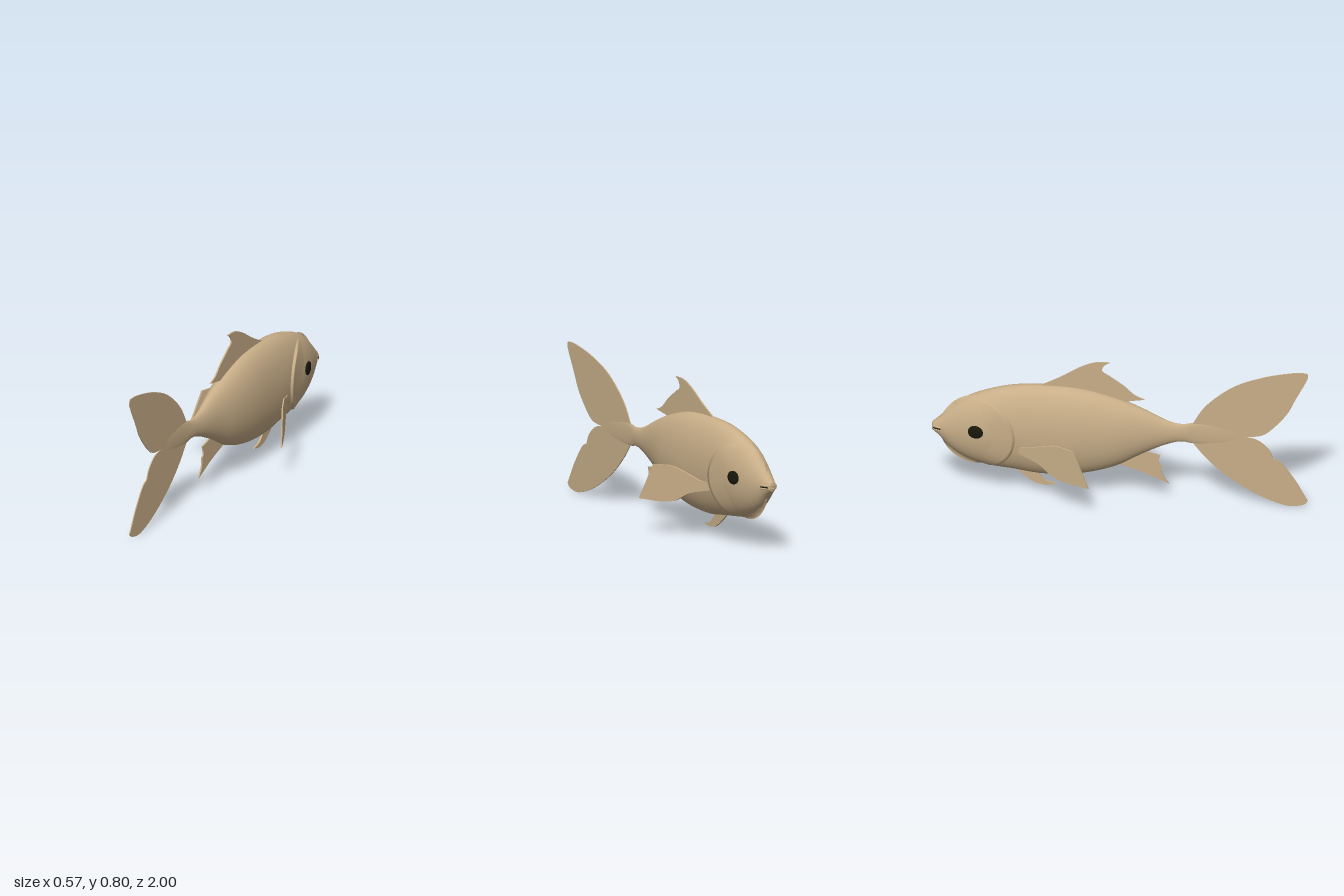
import * as THREE from 'three';

const skin = new THREE.MeshStandardMaterial({ color: 0xc8ae88 });
skin.name = 'tan skin';
const dark = new THREE.MeshStandardMaterial({ color: 0x1a180c });
dark.name = 'dark eye';

// Body stations along the spine: z, top, bottom, half width
const stations = [
  [-1, 0.39, 0.345, 0.02], [-0.97, 0.415, 0.32, 0.036], [-0.9, 0.485, 0.245, 0.06],
  [-0.82, 0.547, 0.195, 0.083], [-0.72, 0.592, 0.16, 0.1], [-0.57, 0.633, 0.14, 0.106],
  [-0.4, 0.645, 0.12, 0.108], [-0.2, 0.635, 0.136, 0.106], [-0.02, 0.59, 0.19, 0.088],
  [0.13, 0.53, 0.275, 0.055], [0.25, 0.472, 0.332, 0.029], [0.33, 0.455, 0.353, 0.016],
  [0.4, 0.468, 0.342, 0.009], [0.62, 0.45, 0.355, 0.003],
];

// Smooth interpolation of one station column at z
function profile(z, k) {
  const n = stations.length;
  let i = 0;
  while (i < n - 2 && z > stations[i + 1][0]) i++;
  const slope = (m) => {
    const a = stations[Math.max(m - 1, 0)], b = stations[Math.min(m + 1, n - 1)];
    return (b[k] - a[k]) / (b[0] - a[0]);
  };
  const a = stations[i], b = stations[i + 1], h = b[0] - a[0];
  const t = THREE.MathUtils.clamp((z - a[0]) / h, 0, 1), t2 = t * t, t3 = t2 * t;
  return (2 * t3 - 3 * t2 + 1) * a[k] + (t3 - 2 * t2 + t) * h * slope(i)
    + (3 * t2 - 2 * t3) * b[k] + (t3 - t2) * h * slope(i + 1);
}

// Half width of the body at a side-view position
function bodyX(z, y) {
  const top = profile(z, 1), bottom = profile(z, 2);
  const v = (y - (top + bottom) / 2) / ((top - bottom) / 2);
  return profile(z, 3) * Math.sqrt(Math.max(0, 1 - v * v));
}

// Surface from rings that close on themselves
function ringSurface(rings, sides, point, flip) {
  const pos = [], index = [];
  for (let i = 0; i <= rings; i++) {
    for (let j = 0; j < sides; j++) pos.push(...point(i, (j / sides) * Math.PI * 2));
  }
  for (let i = 0; i < rings; i++) {
    for (let j = 0; j < sides; j++) {
      const a = i * sides + j, b = i * sides + (j + 1) % sides;
      const c = a + sides, d = b + sides;
      if (flip) index.push(a, b, c, b, d, c);
      else index.push(a, c, b, b, c, d);
    }
  }
  const g = new THREE.BufferGeometry();
  g.setAttribute('position', new THREE.Float32BufferAttribute(pos, 3));
  g.setIndex(index);
  g.computeVertexNormals();
  return g;
}

// Round plate lying on one flank, closed by a rim sunk into the body
function flankPatch(side, cz, cy, rz, ry, offset) {
  const rings = 14;
  return ringSurface(rings, 48, (i, a) => {
    const r = Math.min(i / (rings - 1), 1);
    const z = cz + rz * r * Math.cos(a), y = cy + ry * r * Math.sin(a);
    const lift = i === rings ? -0.012 : offset(r, a);
    return [side * Math.max(0, bodyX(z, y) + lift), y, z];
  }, side > 0);
}

// Thin fin from smooth edges in (z, y) that meet at sharp corners
function finGeometry(start, edges, thickness) {
  const shape = new THREE.Shape();
  shape.moveTo(...start);
  for (const e of edges) shape.splineThru(e.map((p) => new THREE.Vector2(...p)));
  const g = new THREE.ExtrudeGeometry(shape, { depth: thickness, bevelEnabled: false, curveSegments: 5 });
  g.translate(0, 0, -thickness / 2);
  g.rotateY(-Math.PI / 2);
  return g;
}

export function createModel() {
  const fish = new THREE.Group();
  fish.name = 'fish';
  const add = (name, geometry, material = skin) => {
    const m = new THREE.Mesh(geometry, material);
    m.name = name;
    fish.add(m);
  };

  // Body, closed at the nose
  const rows = 64;
  add('body', ringSurface(rows, 48, (i, a) => {
    const z = -1 + 1.62 * Math.pow(Math.max(i - 1, 0) / (rows - 1), 1.4);
    const top = profile(z, 1), bottom = profile(z, 2), s = i === 0 ? 0 : 1;
    return [s * profile(z, 3) * Math.sin(a),
      (top + bottom) / 2 + s * (top - bottom) / 2 * Math.cos(a), z];
  }, false));

  // Forked tail
  add('tailFin', finGeometry([0.39, 0.465], [
    [[0.46, 0.575], [0.6, 0.692], [0.76, 0.76], [0.92, 0.797], [0.995, 0.8]],
    [[0.998, 0.765], [0.935, 0.64], [0.89, 0.55], [0.81, 0.455], [0.75, 0.412], [0.66, 0.4]],
    [[0.73, 0.385], [0.79, 0.335], [0.815, 0.28]],
    [[0.86, 0.255], [0.93, 0.16], [0.97, 0.09], [1, 0.035]],
    [[0.97, 0.01], [0.88, 0.004], [0.73, 0.06], [0.57, 0.16], [0.46, 0.26], [0.39, 0.345]],
  ], 0.006));

  // Fins on the centre line
  add('dorsalFin', finGeometry([-0.46, 0.63], [
    [[-0.41, 0.65], [-0.315, 0.7], [-0.21, 0.765], [-0.13, 0.797], [-0.055, 0.8]],
    [[-0.085, 0.78], [-0.095, 0.745], [-0.055, 0.718], [0.02, 0.665], [0.075, 0.615], [0.13, 0.59]],
    [[0.04, 0.575], [-0.02, 0.56]],
    [[-0.2, 0.6], [-0.46, 0.63]],
  ], 0.008));
  add('analFin', finGeometry([-0.05, 0.21], [
    [[0.04, 0.182], [0.14, 0.148], [0.26, 0.095]],
    [[0.225, 0.15], [0.22, 0.2]],
    [[0.205, 0.22], [0.215, 0.262]],
    [[0.14, 0.28], [0.08, 0.3]],
    [[-0.05, 0.21]],
  ], 0.008));
  add('pelvicFin', finGeometry([-0.58, 0.16], [
    [[-0.51, 0.1], [-0.45, 0.06], [-0.39, 0.048], [-0.34, 0.058]],
    [[-0.395, 0.075], [-0.43, 0.11], [-0.44, 0.14]],
    [[-0.58, 0.16]],
  ], 0.01));

  for (const side of [1, -1]) {
    const label = side > 0 ? 'left' : 'right';

    // Pectoral fin, swept outward toward the tail
    const fin = finGeometry([-0.55, 0.318], [
      [[-0.48, 0.325], [-0.395, 0.36], [-0.315, 0.386], [-0.215, 0.382]],
      [[-0.19, 0.32], [-0.17, 0.27], [-0.135, 0.188]],
      [[-0.26, 0.185], [-0.34, 0.2], [-0.42, 0.248], [-0.54, 0.28]],
      [[-0.55, 0.318]],
    ], 0.008);
    const p = fin.attributes.position;
    for (let i = 0; i < p.count; i++) {
      p.setX(i, p.getX(i) + side * (0.1 + 0.475 * (p.getZ(i) + 0.52)));
    }
    fin.computeVertexNormals();
    add(label + 'PectoralFin', fin);

    // Gill cover, raised along its rear edge
    add(label + 'GillCover', flankPatch(side, -0.755, 0.36, 0.205, 0.205, (r, a) =>
      -0.003 + 0.017 * r * r * THREE.MathUtils.smoothstep(Math.cos(a), -0.1, 0.7)));

    // Eye
    add(label + 'Eye', flankPatch(side, -0.76, 0.388, 0.041, 0.036, (r) =>
      0.003 + 0.005 * (1 - r * r)), dark);
  }

  // Lips and the mouth line between them, wrapped around the nose
  const around = (y, out) => {
    const flank = [-0.95, -0.97, -0.985].map((z) => new THREE.Vector3(bodyX(z, y) + out, y, z));
    const mirrored = flank.map((v) => new THREE.Vector3(-v.x, v.y, v.z)).reverse();
    return new THREE.CatmullRomCurve3([...flank, new THREE.Vector3(0, y, -0.997), ...mirrored]);
  };
  const lip = (y, r, out) => new THREE.TubeGeometry(around(y, out), 24, r, 8);
  add('upperLip', lip(0.374, 0.006, -0.001));
  add('lowerLip', lip(0.358, 0.006, -0.001));
  add('mouthLine', lip(0.366, 0.003, 0.002), dark);

  return fish;
}
